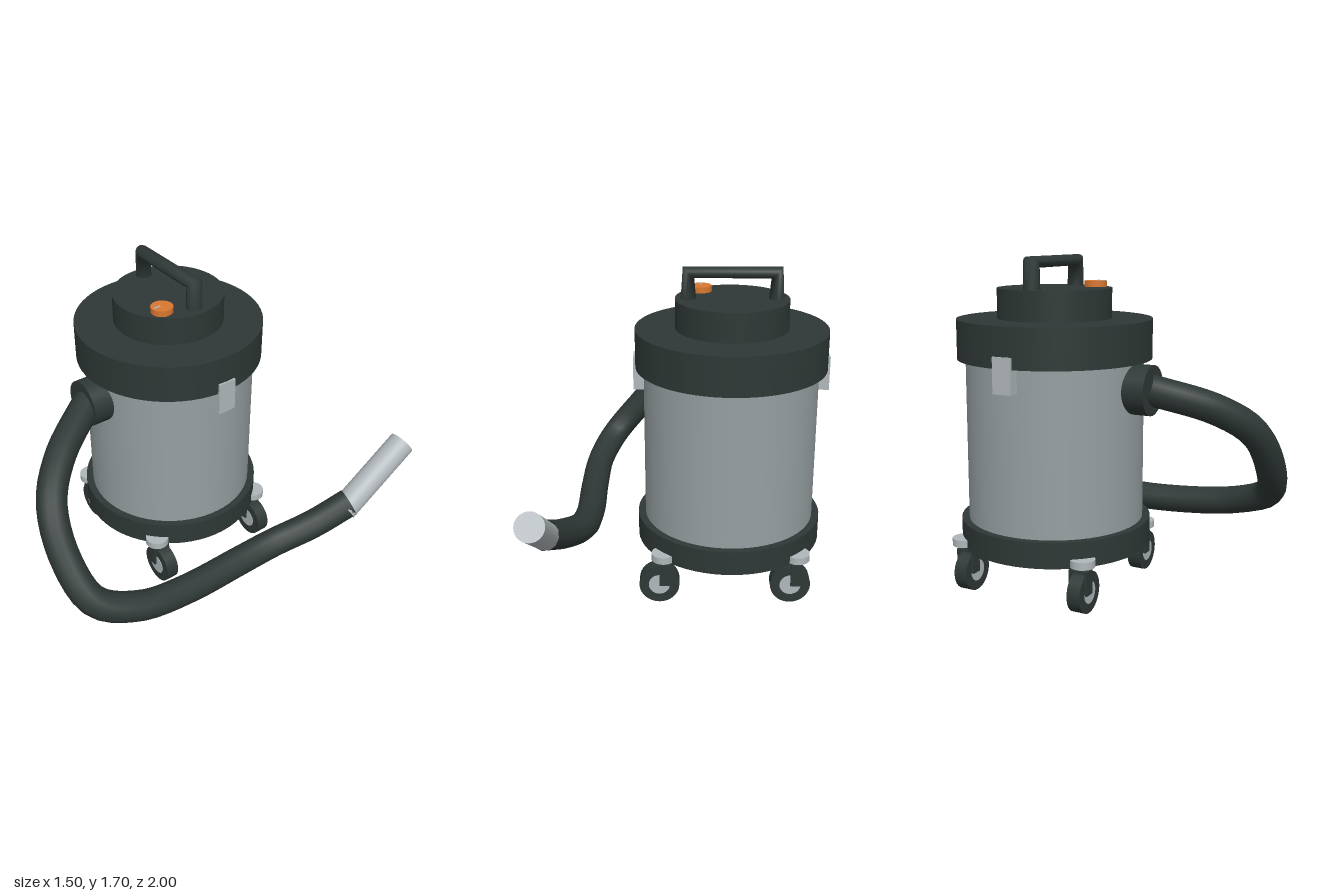
import * as THREE from 'three';

const material = (name, color) => {
  const m = new THREE.MeshStandardMaterial({ color });
  m.name = name;
  return m;
};

export function createModel() {
  const dark = material('dark plastic', 0x2e3836);
  const steel = material('brushed steel', 0x969fa2);
  const light = material('light metal', 0xb0b7ba);
  const orange = material('orange plastic', 0xd9772f);

  const model = new THREE.Group();
  model.name = 'canisterVacuum';
  const CX = -0.25, CZ = -0.065;

  const add = (parent, name, geometry, mat, x = 0, y = 0, z = 0) => {
    const mesh = new THREE.Mesh(geometry, mat);
    mesh.name = name;
    mesh.position.set(x, y, z);
    parent.add(mesh);
    return mesh;
  };
  const box = (w, h, d) => new THREE.BoxGeometry(w, h, d);
  const disc = (r, h, sides = 32) => new THREE.CylinderGeometry(r, r, h, sides);

  // Stacked drum: base, tank, lid and motor cap
  const drum = new THREE.Group();
  drum.name = 'drum';
  drum.position.set(CX, 0, CZ);
  model.add(drum);
  const layers = [
    ['base', 0.488, 0.24, 0.37, dark],
    ['tank', 0.45, 0.36, 1.2, steel],
    ['lid', 0.492, 1.19, 1.39, dark],
    ['motorCap', 0.288, 1.38, 1.54, dark],
  ];
  for (const [name, r, y0, y1, mat] of layers) {
    add(drum, name, disc(r, y1 - y0, 64), mat, 0, (y0 + y1) / 2, 0);
  }

  // Lid latches on both sides
  for (const s of [-1, 1]) {
    add(drum, 'latch', box(0.06, 0.175, 0.1), light, s * 0.471, 1.16, 0);
  }

  // Carry handle: a cylinder bent so each ring sits on a corner of the path
  const path = [[-0.22, 1.52], [-0.22, 1.67], [0.22, 1.67], [0.22, 1.52]]
    .map(([x, y]) => new THREE.Vector3(x, y, 0));
  const handle = new THREE.CylinderGeometry(1, 1, 3, 16, 3, true);
  const pos = handle.attributes.position;
  const zAxis = new THREE.Vector3(0, 0, 1);
  for (let i = 0; i < pos.count; i++) {
    const k = Math.round(pos.getY(i) + 1.5);
    const into = path[Math.max(k, 1)].clone().sub(path[Math.max(k, 1) - 1]).normalize();
    const out = path[Math.min(k, 2) + 1].clone().sub(path[Math.min(k, 2)]).normalize();
    const side = into.add(out).normalize().cross(zAxis);
    const p = path[k].clone()
      .addScaledVector(side, 0.04 * pos.getX(i))
      .addScaledVector(zAxis, 0.042 * pos.getZ(i));
    pos.setXYZ(i, p.x, p.y, p.z);
  }
  handle.computeVertexNormals();
  add(drum, 'handle', handle, dark);

  // Power knob with a small pointer
  add(model, 'knob', disc(0.057, 0.035, 24), orange, -0.093, 1.5525, 0.085);
  add(model, 'knobPointer', box(0.008, 0.006, 0.04), light, -0.093, 1.571, 0.115);

  // Hose inlet on the front of the tank
  add(model, 'inlet', disc(0.124, 0.12, 32), dark, -0.252, 1.06, 0.418).rotation.x = Math.PI / 2;

  // Flexible hose looping round the left side
  const hosePoints = [
    [-0.25, 1.065, 0.45], [-0.06, 0.957, 0.735], [0.09, 0.83, 0.88], [0.265, 0.615, 0.922],
    [0.425, 0.433, 0.87], [0.505, 0.342, 0.665], [0.52, 0.3, 0.39], [0.515, 0.29, 0.035],
    [0.535, 0.315, -0.18], [0.61, 0.39, -0.4], [0.672, 0.485, -0.59],
  ].map((p) => new THREE.Vector3(...p));
  const hoseMat = dark.clone();
  hoseMat.side = THREE.DoubleSide;
  const hoseCurve = new THREE.CatmullRomCurve3(hosePoints);
  add(model, 'hose', new THREE.TubeGeometry(hoseCurve, 48, 0.078, 12), hoseMat);

  // Metal wand at the end of the hose
  const wandStart = new THREE.Vector3(0.673, 0.46, -0.555);
  const wandEnd = new THREE.Vector3(0.673, 0.727, -0.957);
  const wandAxis = wandEnd.clone().sub(wandStart);
  const wand = add(model, 'wand', disc(0.071, wandAxis.length(), 28), light);
  wand.position.copy(wandStart).add(wandEnd).multiplyScalar(0.5);
  wand.quaternion.setFromUnitVectors(new THREE.Vector3(0, 1, 0), wandAxis.normalize());

  // Four castors, wheels trailing towards +x
  for (const sx of [-1, 1]) {
    for (const sz of [-1, 1]) {
      const castor = new THREE.Group();
      castor.name = 'castor';
      castor.position.set(CX + sx * 0.34, 0, CZ + sz * 0.325);
      model.add(castor);
      add(castor, 'mountPlate', disc(0.062, 0.038, 24), light, sx * 0.006, 0.266, sz * 0.015);
      add(castor, 'stem', disc(0.016, 0.04, 12), dark, 0, 0.235, 0);
      add(castor, 'forkBridge', box(0.055, 0.01, 0.1), dark, 0, 0.22, 0);
      for (const s of [-1, 1]) {
        add(castor, 'forkArm', box(0.055, 0.12, 0.014), dark, 0, 0.165, s * 0.043);
      }
      add(castor, 'wheel', disc(0.104, 0.07, 32), dark, 0.028, 0.106, 0).rotation.x = Math.PI / 2;
      add(castor, 'hub', disc(0.055, 0.076, 24), light, 0.028, 0.106, 0).rotation.x = Math.PI / 2;
    }
  }

  return model;
}
